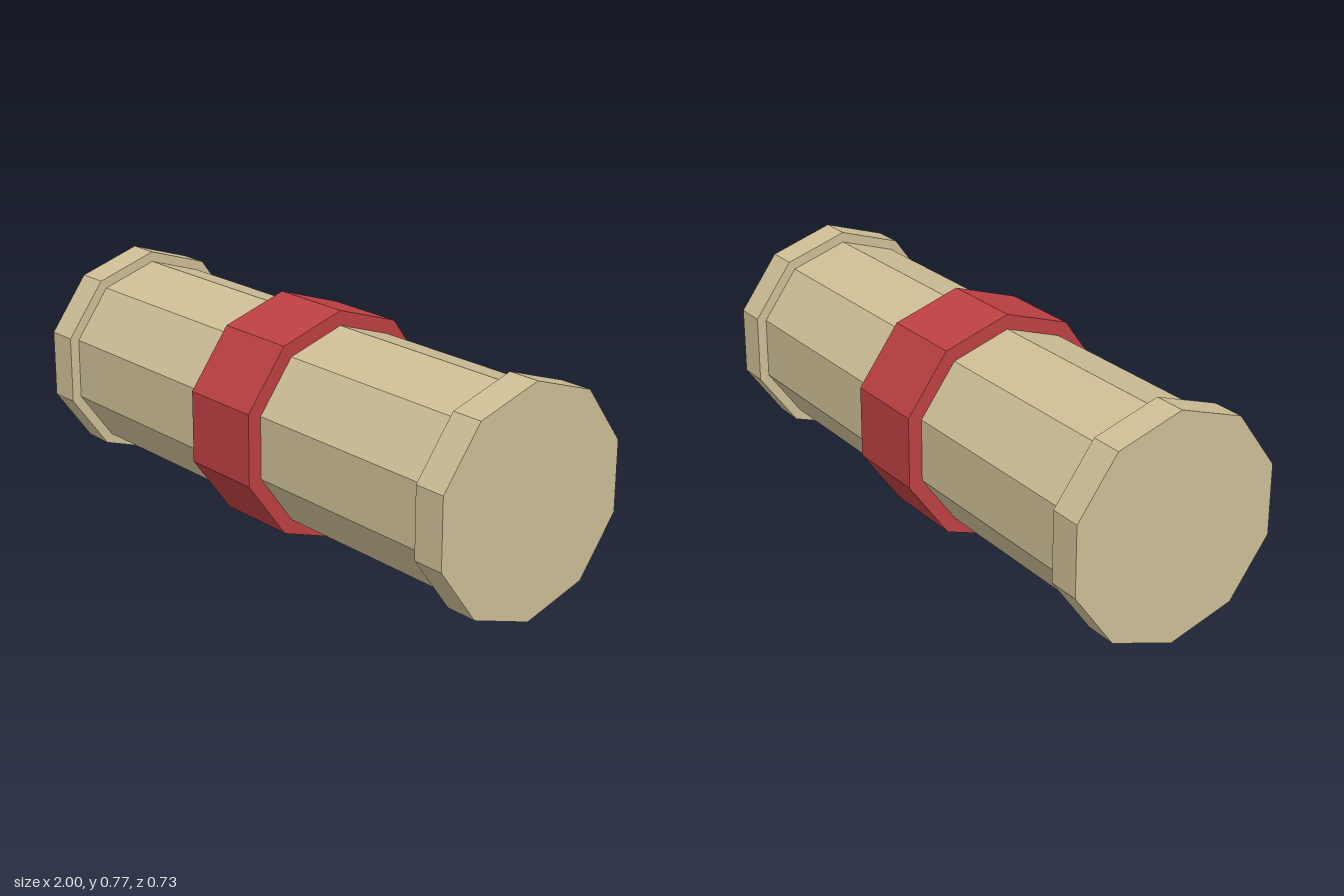
import * as THREE from 'three';

export function createModel() {
  const group = new THREE.Group();
  const tan = new THREE.MeshStandardMaterial({ color: 0xcebe96 });
  tan.name = 'tan';
  const red = new THREE.MeshStandardMaterial({ color: 0xbd4042 });
  red.name = 'red';
  const centreY = 0.384;

  // Ten-sided drum lying along x, with a corner pointing straight up
  function drum(name, radius, x0, x1, material) {
    const geometry = new THREE.CylinderGeometry(radius, radius, x1 - x0, 10, 1, false, Math.PI / 2)
      .rotateZ(Math.PI / 2)
      .toNonIndexed();
    geometry.computeVertexNormals(); // flat facets
    const mesh = new THREE.Mesh(geometry, material);
    mesh.name = name;
    mesh.position.set((x0 + x1) / 2, centreY, 0);
    group.add(mesh);
  }

  drum('rolledBody', 0.335, -0.9, 0.9, tan);
  drum('rightEndCap', 0.37, -1, -0.89, tan);
  drum('leftEndCap', 0.37, 0.89, 1, tan);
  drum('centreBand', 0.384, -0.147, 0.147, red);

  return group;
}
